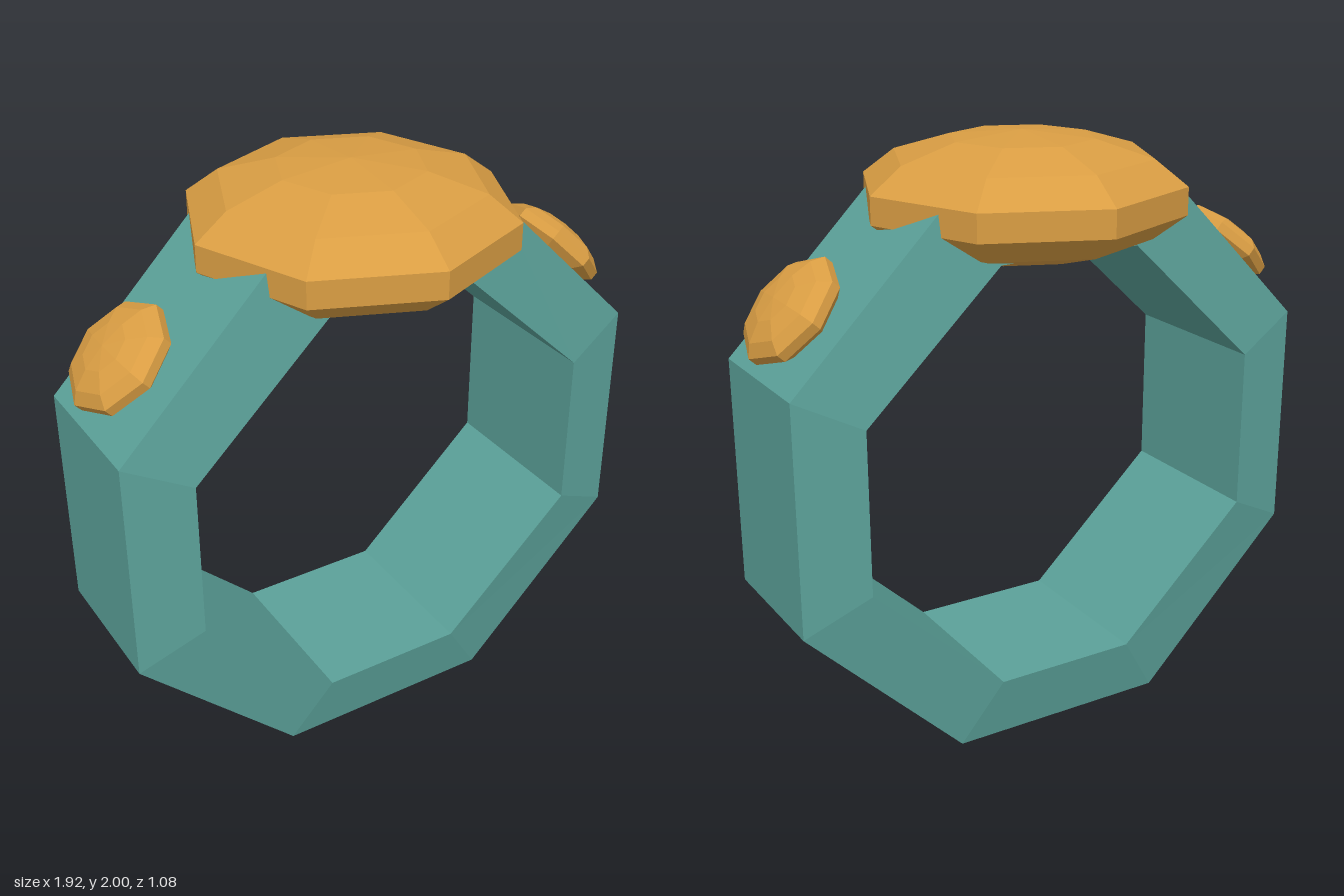
import * as THREE from 'three';

const gold = new THREE.MeshStandardMaterial({ color: 0xd99d43, flatShading: true });
gold.name = 'amber gold';
const teal = new THREE.MeshStandardMaterial({ color: 0x5ba199, flatShading: true });
teal.name = 'teal';

// Octagonal band: a four-cornered cross-section carried round eight corners
function bandGeometry() {
  const corner = (i, k) => {
    const a = Math.PI / 8 + (i * Math.PI) / 4;
    const steep = Math.abs(Math.sin(a)) > 0.7;
    const outer = k < 2;
    const far = outer ? 0.935 : 0.716;
    const near = outer ? 0.387 : steep ? 0.25 : 0.275;
    const x = (steep ? near : far) * Math.sign(Math.cos(a));
    const y = (steep ? far : near) * Math.sign(Math.sin(a));
    const z = (outer ? 0.248 : 0.292) * (k === 0 || k === 3 ? 1 : -1);
    return [x, y + 0.935, z];
  };
  const positions = [];
  for (let i = 0; i < 8; i++) {
    for (let k = 0; k < 4; k++) {
      const n = (k + 1) % 4;
      const [a, b, c, d] = [corner(i, k), corner(i, n), corner(i + 1, n), corner(i + 1, k)];
      positions.push(...a, ...b, ...c, ...a, ...c, ...d);
    }
  }
  const geometry = new THREE.BufferGeometry();
  geometry.setAttribute('position', new THREE.Float32BufferAttribute(positions, 3));
  geometry.computeVertexNormals();
  return geometry;
}

// Eight-sided faceted stone, symmetric above and below its girdle
function stoneGeometry() {
  const half = [[0, 0.205], [0.24, 0.183], [0.43, 0.127], [0.538, 0.045]];
  const profile = [
    ...half.map(([r, y]) => new THREE.Vector2(r, -y)),
    ...half.slice().reverse().map(([r, y]) => new THREE.Vector2(r, y)),
  ];
  return new THREE.LatheGeometry(profile, 8);
}

export function createModel() {
  const group = new THREE.Group();
  group.name = 'ring';

  const band = new THREE.Mesh(bandGeometry(), teal);
  band.name = 'band';
  band.position.x = -0.003;
  group.add(band);

  const stone = stoneGeometry();
  const addStone = (name, x, y, scale, tilt) => {
    const mesh = new THREE.Mesh(stone, gold);
    mesh.name = name;
    mesh.position.set(x, y, 0);
    mesh.rotation.z = THREE.MathUtils.degToRad(tilt);
    mesh.scale.setScalar(scale);
    group.add(mesh);
  };
  addStone('mainStone', 0, 1.795, 1, 0);
  addStone('leftSideStone', 0.813, 1.522, 0.358, -47);
  addStone('rightSideStone', -0.807, 1.54, 0.358, 42);

  return group;
}
